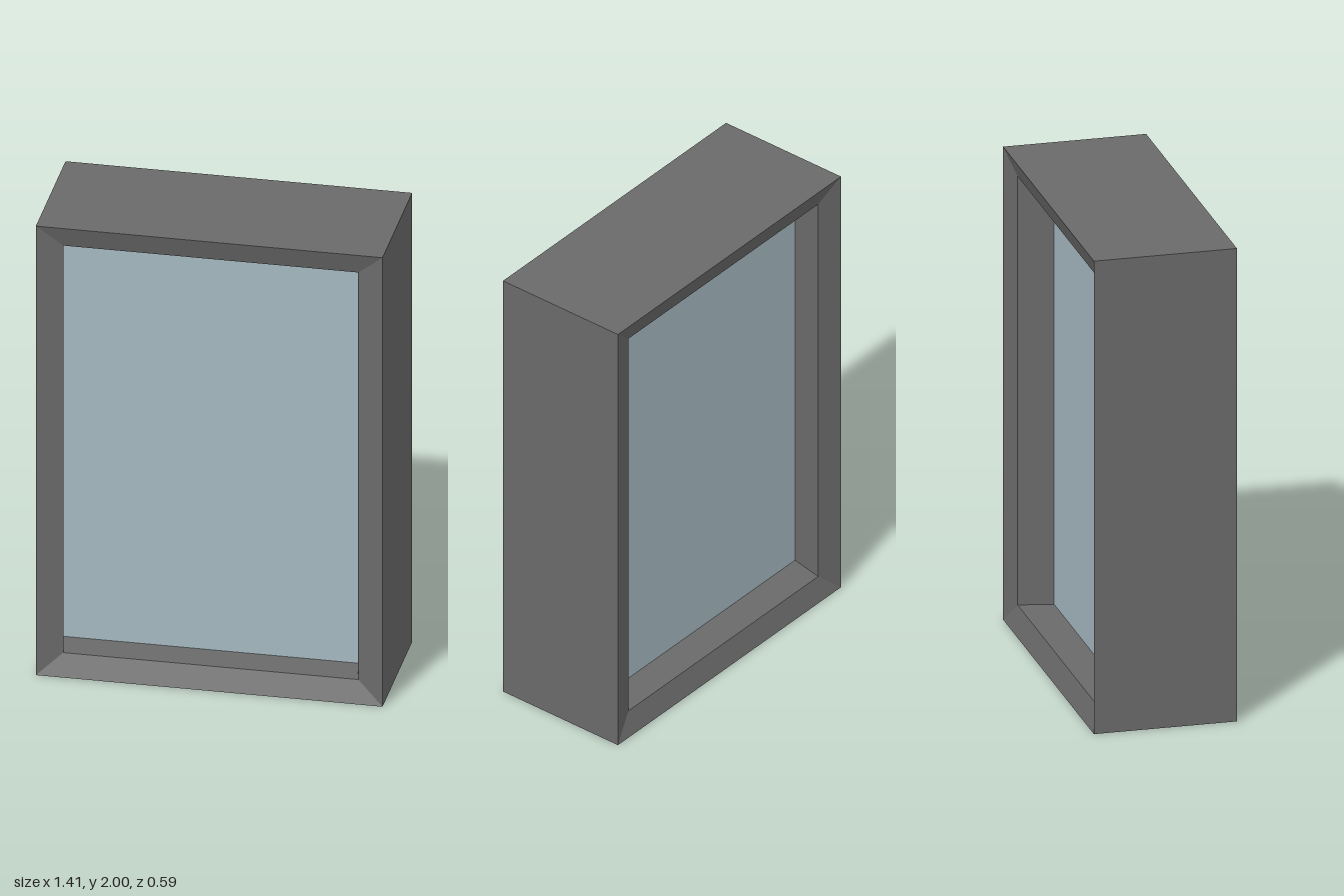
import * as THREE from 'three';

const HALF_W = 0.705, HEIGHT = 2, HALF_D = 0.295; // outer block
const IN_X = 0.6, IN_LOW = 0.095, IN_HIGH = 1.908, LIP_Z = 0.263; // inner edge of the sloped border
const PANE_Z = 0.12, PANE_SHIFT = -0.03; // the pane sits slightly off centre, so the side reveals slant

// Rectangle loop, counter-clockwise seen from the front
const rect = (x0, x1, y0, y1, z) => [[x0, y0, z], [x1, y0, z], [x1, y1, z], [x0, y1, z]];
const paneLoop = (z) => rect(-IN_X + PANE_SHIFT, IN_X + PANE_SHIFT, IN_LOW, IN_HIGH, z);
const lipLoop = (z) => rect(-IN_X, IN_X, IN_LOW, IN_HIGH, z);
const outerLoop = (z) => rect(-HALF_W, HALF_W, 0, HEIGHT, z);

// Joins successive loops with flat quads
function loft(loops) {
  const pos = [];
  for (let i = 0; i < loops.length - 1; i++) {
    for (let j = 0; j < 4; j++) {
      const k = (j + 1) % 4;
      const a = loops[i][j], b = loops[i][k], c = loops[i + 1][k], d = loops[i + 1][j];
      pos.push(...a, ...b, ...c, ...a, ...c, ...d);
    }
  }
  const geo = new THREE.BufferGeometry();
  geo.setAttribute('position', new THREE.Float32BufferAttribute(pos, 3));
  geo.computeVertexNormals();
  return geo;
}

export function createModel() {
  const group = new THREE.Group();
  group.name = 'window';

  // Frame: back reveal, back border, outer walls, front border, front reveal
  const frame = new THREE.Mesh(
    loft([
      paneLoop(-PANE_Z), lipLoop(-LIP_Z), outerLoop(-HALF_D),
      outerLoop(HALF_D), lipLoop(LIP_Z), paneLoop(PANE_Z),
    ]),
    new THREE.MeshStandardMaterial({ color: 0x6a6a6b, flatShading: true })
  );
  frame.name = 'frame';

  // Glass filling the opening
  const glass = new THREE.Mesh(
    new THREE.BoxGeometry(2 * IN_X, IN_HIGH - IN_LOW, 2 * PANE_Z),
    new THREE.MeshStandardMaterial({ color: 0xa5b8c0 })
  );
  glass.name = 'glassPane';
  glass.position.set(PANE_SHIFT, (IN_LOW + IN_HIGH) / 2, 0);

  group.add(frame, glass);
  return group;
}
